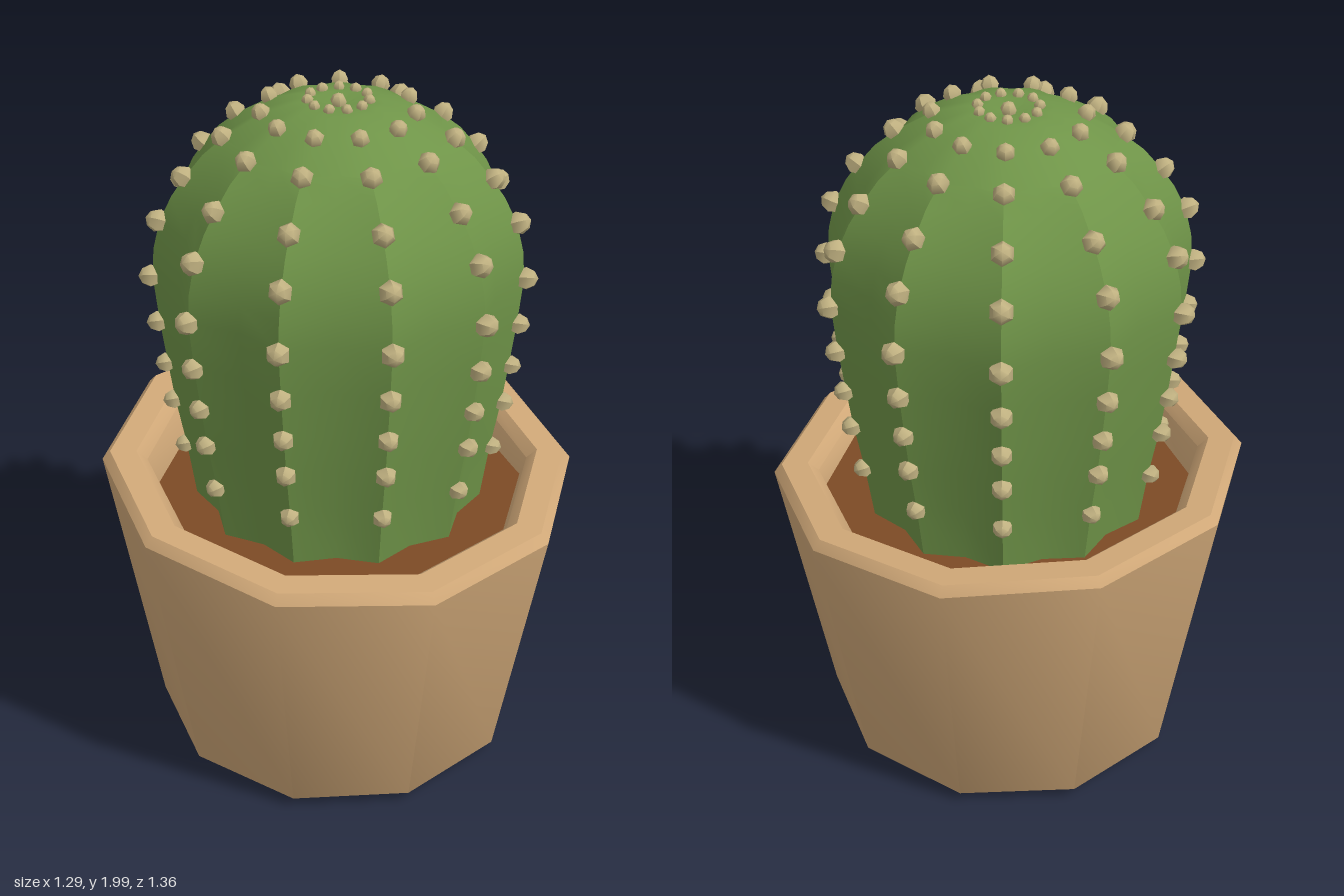
import * as THREE from 'three';
import { toCreasedNormals } from 'three/addons/utils/BufferGeometryUtils.js';

const RIBS = 11;

function material(name, color) {
  const m = new THREE.MeshStandardMaterial({ color });
  m.name = name;
  return m;
}

// Lathe whose vertices can be moved by a rule, with hard edges kept sharp
function turned(profile, sides, crease, rule) {
  const geo = new THREE.LatheGeometry(profile.map(([r, y]) => new THREE.Vector2(r, y)), sides);
  const pos = geo.attributes.position;
  const v = new THREE.Vector3();
  for (let i = 0; rule && i < pos.count; i++) {
    rule(v.fromBufferAttribute(pos, i), Math.floor(i / profile.length));
    pos.setXYZ(i, v.x, v.y, v.z);
  }
  return toCreasedNormals(geo, crease);
}

export function createModel() {
  const model = new THREE.Group();
  const clay = material('clay', 0xd0a878);
  const earth = material('earth', 0x7c4a25);
  const green = material('cactus green', 0x6f9448);
  const straw = material('straw', 0xbfb080);

  const add = (name, geo, mat, parent = model) => {
    const mesh = new THREE.Mesh(geo, mat);
    mesh.name = name;
    parent.add(mesh);
    return mesh;
  };

  // Ten-sided pot with a bevelled, slanting rim
  const potProfile = [
    [0, 0], [0.505, 0], [0.543, 0.035], [0.678, 0.872], [0.655, 0.898],
    [0.58, 0.898], [0.55, 0.87], [0.53, 0.78],
  ];
  add('pot', turned(potProfile, 10, 0.66, (v) => {
    if (v.y > 0.8) v.y -= 0.07 * v.x;
  }), clay);

  // Soil
  add('soil', turned([[0.535, 0.79], [0, 0.79]], 10, 0.5), earth);

  // Ribbed body: even columns are ridges, odd columns are valleys
  const bodyProfile = [
    [0.41, 0.77], [0.435, 0.96], [0.46, 1.11], [0.475, 1.23], [0.49, 1.36], [0.502, 1.5],
    [0.495, 1.58], [0.475, 1.66], [0.44, 1.73], [0.405, 1.78], [0.355, 1.84], [0.3, 1.885],
    [0.2, 1.945], [0.12, 1.97], [0.06, 1.975], [0, 1.955],
  ];
  add('cactusBody', turned(bodyProfile, RIBS * 2, 0.6, (v, column) => {
    if (column % 2) {
      v.x *= 0.905;
      v.z *= 0.905;
    }
  }), green);

  // Spine nubs along each ridge: radius, height, outward tilt above level, size
  const nubGeo = turned([[0, -0.025], [0.022, -0.02], [0.032, 0.005], [0.021, 0.026], [0, 0.036]], 6, 0.9);
  const rows = [
    [0.435, 0.96, -0.12, 0.9], [0.46, 1.11, -0.12, 0.95], [0.475, 1.23, -0.1, 0.95],
    [0.49, 1.36, -0.05, 1], [0.502, 1.5, 0.05, 1.05], [0.475, 1.66, 0.35, 1.05],
    [0.405, 1.78, 0.65, 1], [0.3, 1.885, 0.95, 0.95], [0.2, 1.947, 1.15, 0.8],
    [0.08, 1.976, 1.4, 0.5],
  ];
  for (let i = 0; i < RIBS; i++) {
    const rib = new THREE.Group();
    rib.name = 'spineRow';
    rib.rotation.y = (i / RIBS) * Math.PI * 2;
    model.add(rib);
    for (const [r, y, tilt, size] of rows) {
      const nub = add('spine', nubGeo, straw, rib);
      nub.position.set(0, y, r);
      nub.rotation.x = Math.PI / 2 - tilt;
      nub.scale.setScalar(size);
    }
  }

  // Single nub at the crown
  const crown = add('crownSpine', nubGeo, straw);
  crown.position.y = 1.968;
  crown.scale.setScalar(0.7);

  return model;
}
